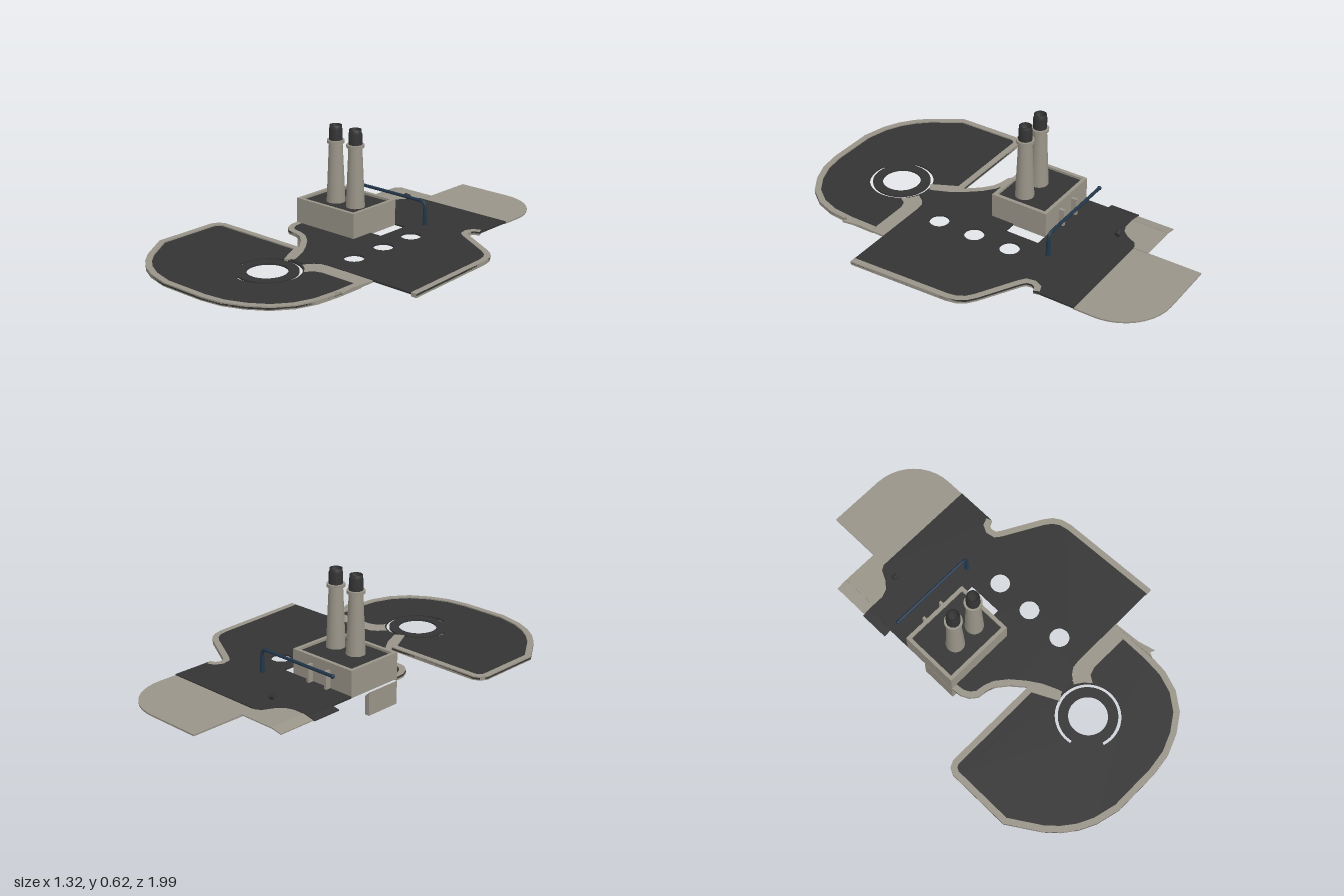
import * as THREE from 'three';

const stone = new THREE.MeshStandardMaterial({ color: 0x999488 });
const asphalt = new THREE.MeshStandardMaterial({ color: 0x343434 });
const navy = new THREE.MeshStandardMaterial({ color: 0x22364a });
stone.name = 'stone';
asphalt.name = 'asphalt';
navy.name = 'navy';

export function createModel() {
  const model = new THREE.Group();
  const v2 = (p) => new THREE.Vector2(p[0], p[1]);

  function add(name, geometry, material, x = 0, y = 0, z = 0) {
    const mesh = new THREE.Mesh(geometry, material);
    mesh.name = name;
    mesh.position.set(x, y, z);
    model.add(mesh);
    return mesh;
  }

  // Horizontal slab from an outline of [x, z] points
  function plate(name, points, y0, y1, material, holes = []) {
    const shape = new THREE.Shape(points.map(v2));
    shape.holes.push(...holes);
    const geometry = new THREE.ExtrudeGeometry(shape, { depth: y1 - y0, bevelEnabled: false, curveSegments: 32 });
    return add(name, geometry.rotateX(Math.PI / 2), material, 0, y1, 0);
  }

  // Kerb of even width along the inner side of an open path
  function kerb(name, points, width) {
    const pts = points.map(v2);
    const normal = (a, b) => {
      const d = b.clone().sub(a).normalize();
      return new THREE.Vector2(d.y, -d.x);
    };
    const inner = pts.map((p, i) => {
      const n0 = normal(pts[Math.max(i - 1, 0)], pts[Math.max(i, 1)]);
      const last = pts.length - 1;
      const n1 = normal(pts[Math.min(i, last - 1)], pts[Math.min(i + 1, last)]);
      const m = n0.clone().add(n1).normalize();
      return p.clone().addScaledVector(m, width / Math.max(m.dot(n0), 0.5));
    });
    const loop = [...pts, ...inner.reverse()].map((p) => [p.x, p.y]);
    return plate(name, loop, 0.115, 0.134, stone);
  }

  const circle = (x, z, r) => new THREE.Path().absarc(x, z, r, 0, Math.PI * 2, false);

  // Main yard with three round openings and a bay for the building
  const leftEdge = [[-0.37, 0.03], [-0.365, 0.08], [-0.345, 0.12], [-0.31, 0.148], [-0.26, 0.155],
    [-0.22, 0.17], [-0.17, 0.21], [-0.12, 0.27], [-0.08, 0.33], [-0.05, 0.4], [-0.045, 0.42]];
  const rightEdge = [[0.66, 0.36], [0.636, -0.15], [0.625, -0.2], [0.6, -0.24], [0.56, -0.27],
    [0.37, -0.375], [0.35, -0.39], [0.345, -0.415], [0.355, -0.435], [0.38, -0.445]];
  plate('mainYard', [
    ...leftEdge, [0.05, 0.42], [0.08, 0.385], [0.11, 0.365], [0.15, 0.36], ...rightEdge,
    [0.38, -0.655], [-0.16, -0.655], [-0.185, -0.64], [-0.21, -0.59], [-0.24, -0.555], [-0.28, -0.54],
    [-0.37, -0.54], [-0.37, -0.27], [0.065, -0.27], [0.065, -0.09], [0, -0.09], [0, 0.03],
  ], 0.124, 0.133, asphalt, [-0.183, 0.015, 0.215].map((z) => circle(0.172, z, 0.048)));
  kerb('leftKerb', leftEdge, 0.03);
  kerb('rightKerb', rightEdge, 0.03);

  // Round front yard with central opening and ring slot
  const frontEdge = [[-0.03, 0.42], [-0.06, 0.36], [-0.1, 0.28], [-0.61, 0.28], [-0.643, 0.295], [-0.66, 0.33],
    [-0.66, 0.655], [-0.56, 0.81], [-0.505, 0.87], [-0.44, 0.92], [-0.36, 0.96], [-0.24, 0.99],
    [0, 0.99], [0.11, 0.975], [0.21, 0.935], [0.3, 0.875], [0.365, 0.79], [0.4, 0.69], [0.41, 0.58], [0.41, 0.43]];
  const cx = -0.015, cz = 0.58;
  const a0 = 2.95, a1 = 1.9 + Math.PI * 2;
  const slot = new THREE.Path()
    .absarc(cx, cz, 0.157, a0, a1, false)
    .absarc(cx, cz, 0.142, a1, a0, true);
  plate('frontYard', [
    ...frontEdge, [0.18, 0.43], [0.14, 0.44], [0.12, 0.455], [0.055, 0.415],
  ], 0.12, 0.128, asphalt, [circle(cx, cz, 0.094), slot]);
  kerb('frontKerb', frontEdge, 0.03);
  plate('linkStrip', [
    [0.05, 0.425], [0.08, 0.385], [0.11, 0.362], [0.15, 0.355], [0.41, 0.355], [0.41, 0.437],
    [0.18, 0.437], [0.14, 0.45], [0.117, 0.485], [0.09, 0.452],
  ], 0.118, 0.13, stone);

  // Small rising spur beside the front yard
  const spur = plate('spur', [[0.405, 0.36], [0.413, 0.36], [0.42, 0.5], [0.44, 0.585], [0.42, 0.575], [0.405, 0.6]],
    0.12, 0.13, stone);
  const sp = spur.geometry.attributes.position;
  for (let i = 0; i < sp.count; i++) sp.setY(i, sp.getY(i) + (sp.getZ(i) - 0.36) * 0.065);
  spur.geometry.computeVertexNormals();

  // Rear apron with one rounded corner
  const corner = Array.from({ length: 11 }, (_, i) => {
    const a = (i / 10) * Math.PI / 2;
    return [0.13 + 0.25 * Math.sin(a), -0.75 - 0.25 * Math.cos(a)];
  });
  plate('rearApron', [[-0.155, -1], ...corner, [0.38, -0.65], [-0.155, -0.65]], 0.12, 0.128, stone);
  plate('rearWing', [[-0.34, -0.73], [-0.15, -0.73], [-0.15, -0.6], [-0.2, -0.53], [-0.34, -0.53]], 0.126, 0.131, stone);

  // Sloping flaps on the side of the yard
  function flap(name, x0, x1, z0, z1, material) {
    const mesh = add(name, new THREE.BoxGeometry(x1 - x0, 0.005, z1 - z0), material,
      (x0 + x1) / 2, 0.124, (z0 + z1) / 2);
    mesh.rotation.z = 0.2;
  }
  flap('wingFlap', -0.4, -0.34, -0.73, -0.54, stone);
  flap('yardFlap', -0.41, -0.365, -0.54, -0.39, asphalt);

  // Building with raised parapet and dark roof
  const bx = -0.185, bz = -0.12, bw = 0.37, bd = 0.3;
  add('buildingBody', new THREE.BoxGeometry(bw, 0.115, bd), stone, bx, 0.1825, bz);
  add('roof', new THREE.BoxGeometry(bw - 0.03, 0.004, bd - 0.03), asphalt, bx, 0.242, bz);
  const rim = (x0, x1, z0, z1) => [[x0, z0], [x1, z0], [x1, z1], [x0, z1]];
  const inside = new THREE.Path(rim(-0.352, -0.018, -0.252, 0.012).map(v2));
  plate('parapet', rim(-0.37, 0, -0.27, 0.03), 0.24, 0.256, stone, [inside]);
  for (const x of [-0.232, -0.122])
    add('rearButtress', new THREE.BoxGeometry(0.014, 0.09, 0.03), stone, x, 0.175, -0.283);

  // Retaining wall below the building, with slanted top
  const wall = new THREE.Shape([[-0.37, 0], [-0.345, 0], [-0.345, 0.092], [-0.37, 0.115]].map(v2));
  add('retainingWall', new THREE.ExtrudeGeometry(wall, { depth: 0.185, bevelEnabled: false }), stone, 0, 0, -0.155);

  // Pair of chimneys
  const lathe = (pts) => new THREE.LatheGeometry(pts.map(v2), 20);
  for (const x of [-0.223, -0.097]) {
    add('chimneyShaft', new THREE.CylinderGeometry(0.033, 0.046, 0.3, 20, 1, true), stone, x, 0.392, -0.09);
    add('chimneyCollar', new THREE.CylinderGeometry(0.043, 0.043, 0.015, 20), stone, x, 0.545, -0.09);
    add('chimneyCap', lathe([[0.033, 0.55], [0.033, 0.605], [0.03, 0.61], [0.03, 0.625],
      [0.024, 0.625], [0.024, 0.58], [0, 0.58]]), asphalt, x, 0, -0.09);
  }

  // Bent pipe with sleeve, foot and end joint
  const pz = -0.357;
  const run = new THREE.CurvePath();
  const P = (x, y) => new THREE.Vector3(x, y, pz);
  run.add(new THREE.LineCurve3(P(-0.34, 0.248), P(0.085, 0.248)));
  run.add(new THREE.QuadraticBezierCurve3(P(0.085, 0.248), P(0.115, 0.248), P(0.115, 0.215)));
  run.add(new THREE.LineCurve3(P(0.115, 0.215), P(0.115, 0.13)));
  add('pipe', new THREE.TubeGeometry(run, 60, 0.008, 10), navy);
  add('pipeSleeve', new THREE.CylinderGeometry(0.0105, 0.0105, 0.075, 12), navy, 0.115, 0.175, pz);
  add('pipeFoot', new THREE.CylinderGeometry(0.014, 0.014, 0.008, 12), navy, 0.115, 0.137, pz);
  add('pipeJoint', new THREE.SphereGeometry(0.0105, 12, 8), navy, -0.338, 0.248, pz);

  // Loose valve knob above the rear yard
  const knob = add('knob', new THREE.CylinderGeometry(0.012, 0.014, 0.026, 8), asphalt, -0.17, 0.165, -0.56);
  knob.rotation.set(0.3, 0, 1.3);

  return model;
}
